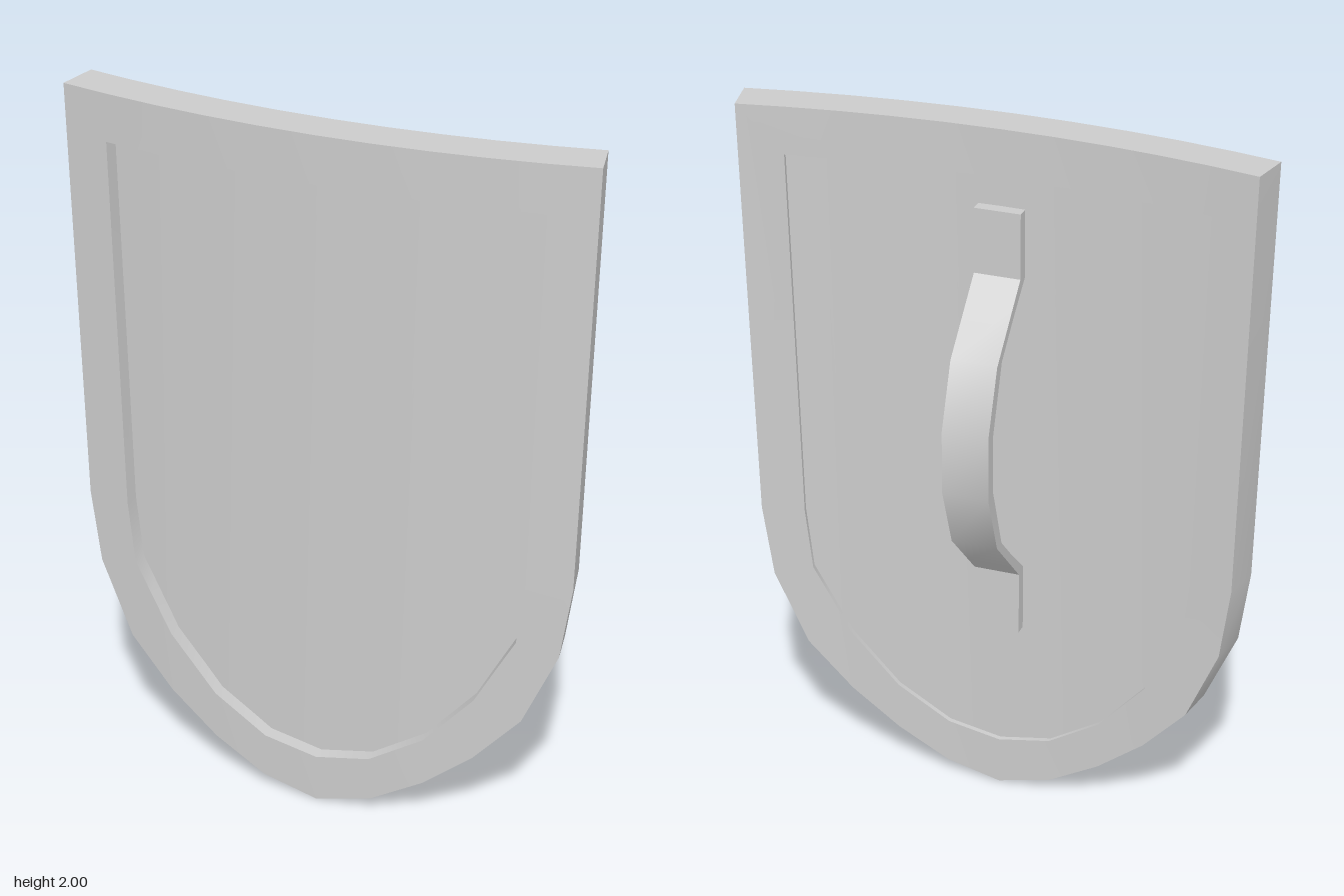
import * as THREE from 'three';
import { toCreasedNormals } from 'three/addons/utils/BufferGeometryUtils.js';

const material = new THREE.MeshStandardMaterial({ color: 0xcccccc });
const FRONT = 3.6, BACK = 3.485;              // radii of the curved rim faces
const PANEL_FRONT = 3.56, PANEL_BACK = 3.5;   // the panel is recessed on both sides
const AXIS_Z = 0.19 - FRONT;

// Wraps a flat outline point around the vertical axis of curvature
function bend([x, y], radius) {
  const a = Math.asin(x / FRONT);
  return [radius * Math.sin(a), y, radius * Math.cos(a) + AXIS_Z];
}

// Mirrors a half outline (bottom centre to top centre) into a closed loop
function mirrorLoop(half) {
  return [...half, ...half.slice(1, -1).reverse().map(([x, y]) => [-x, y])];
}

function addQuad(out, a, b, c, d) {
  out.push(...a, ...b, ...c, ...a, ...c, ...d);
}

function makeMesh(name, positions) {
  const g = new THREE.BufferGeometry();
  g.setAttribute('position', new THREE.Float32BufferAttribute(positions, 3));
  const mesh = new THREE.Mesh(toCreasedNormals(g, 0.5), material);
  mesh.name = name;
  return mesh;
}

const topColumns = [0.45, 0.31, 0.155, 0];
const outerHalf = [[0, 0], [0.16, 0.04], [0.31, 0.125], [0.45, 0.235], [0.58, 0.375],
  [0.675, 0.59], [0.705, 0.8], [0.735, 2], [0.6, 2], ...topColumns.map((x) => [x, 2])];
const innerLower = [[0, 0.14], [0.155, 0.17], [0.31, 0.265], [0.45, 0.42], [0.51, 0.53],
  [0.56, 0.62], [0.58, 0.8], [0.605, 1.865]];
const innerHalf = [...innerLower, [0.53, 1.865], ...topColumns.map((x) => [x, 1.865])];

// Rim: rectangular section swept between the outer and inner outlines
function createRim() {
  const outer = mirrorLoop(outerHalf), inner = mirrorLoop(innerHalf);
  const sections = outer.map((p, i) => [
    bend(p, FRONT), bend(p, BACK), bend(inner[i], BACK), bend(inner[i], FRONT)]);
  const out = [];
  sections.forEach((s, i) => {
    const n = sections[(i + 1) % sections.length];
    for (let j = 0; j < 4; j++) {
      const k = (j + 1) % 4;
      addQuad(out, s[j], s[k], n[k], n[j]);
    }
  });
  return makeMesh('rim', out);
}

// Panel: vertical strips filling the rim, front and back
function createPanel() {
  const lower = [...innerLower.slice(1).reverse().map(([x, y]) => [-x, y]), ...innerLower];
  const out = [];
  for (let i = 0; i < lower.length - 1; i++) {
    const p = lower[i], q = lower[i + 1];
    const corners = [p, q, [q[0], 1.865], [p[0], 1.865]]
      .filter((c, k) => !(k === 2 && q[1] === 1.865) && !(k === 3 && p[1] === 1.865));
    for (let k = 1; k < corners.length - 1; k++) {
      const tri = [corners[0], corners[k], corners[k + 1]];
      tri.forEach((c) => out.push(...bend(c, PANEL_FRONT)));
      tri.reverse().forEach((c) => out.push(...bend(c, PANEL_BACK)));
    }
  }
  return makeMesh('panel', out);
}

// Handle: bowed strap with flat feet, mirrored about its middle height
function createHandle() {
  const middle = 1.15, width = 0.13;
  // [distance behind z = 0, height above the middle]
  const outside = [[-0.055, 0.63], [-0.055, 0.445], [0, 0.39], [0.12, 0.27], [0.187, 0.09]];
  const inside = [[0.15, 0.085], [0.085, 0.27], [0, 0.355], [-0.093, 0.44], [-0.093, 0.63]];
  const flip = (points) => points.map(([u, v]) => [u, -v]).reverse();
  const profile = [...outside, ...flip(outside), ...flip(inside), ...inside];
  const shape = new THREE.Shape(profile.map(([u, v]) => new THREE.Vector2(u, v + middle)));
  const g = new THREE.ExtrudeGeometry(shape, { depth: width, bevelEnabled: false });
  g.rotateY(Math.PI / 2).translate(-width / 2, 0, 0);
  const mesh = new THREE.Mesh(toCreasedNormals(g, 0.5), material);
  mesh.name = 'handle';
  return mesh;
}

export function createModel() {
  const group = new THREE.Group();
  group.name = 'shield';
  group.add(createRim(), createPanel(), createHandle());
  return group;
}
